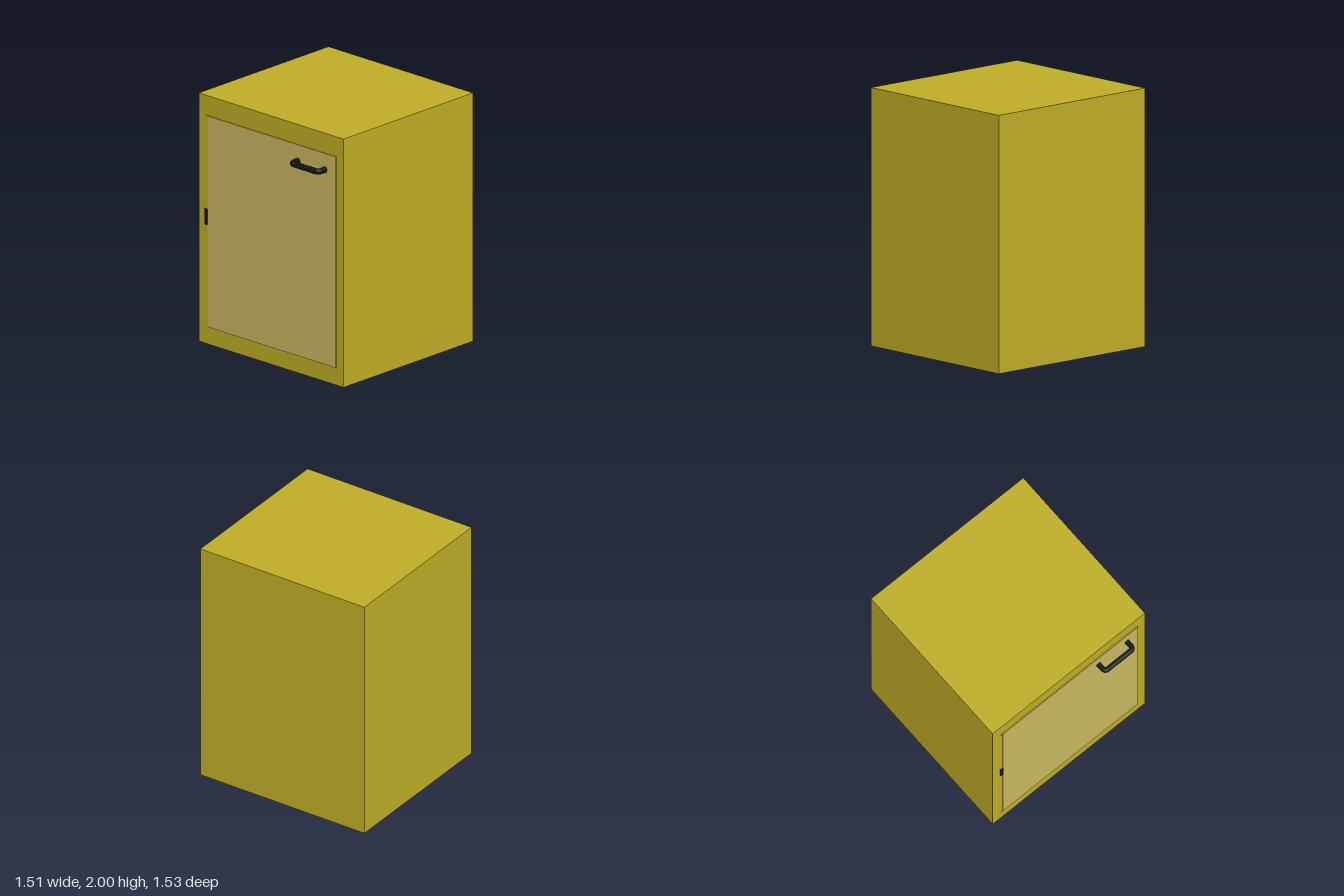
import * as THREE from 'three';

const YELLOW = 0xbfad26, TAN = 0xc9b760, BLACK = 0x161616;

function material(color) {
  return new THREE.MeshStandardMaterial({ color });
}

// Box given by its min and max corners
function box(name, color, [x0, y0, z0], [x1, y1, z1]) {
  const mesh = new THREE.Mesh(new THREE.BoxGeometry(x1 - x0, y1 - y0, z1 - z0), material(color));
  mesh.position.set((x0 + x1) / 2, (y0 + y1) / 2, (z0 + z1) / 2);
  mesh.name = name;
  return mesh;
}

// Bent-bar pull handle with rounded corners, in the xz plane
function pullHandle() {
  const half = 0.141, back = 0.655, front = 0.745, r = 0.03;
  const v = (x, z) => new THREE.Vector3(x, 0, z);
  const path = new THREE.CurvePath();
  path.add(new THREE.LineCurve3(v(-half, back), v(-half, front - r)));
  path.add(new THREE.QuadraticBezierCurve3(v(-half, front - r), v(-half, front), v(-half + r, front)));
  path.add(new THREE.LineCurve3(v(-half + r, front), v(half - r, front)));
  path.add(new THREE.QuadraticBezierCurve3(v(half - r, front), v(half, front), v(half, front - r)));
  path.add(new THREE.LineCurve3(v(half, front - r), v(half, back)));
  const mesh = new THREE.Mesh(new THREE.TubeGeometry(path, 80, 0.021, 12), material(BLACK));
  mesh.scale.y = 1.14;
  mesh.position.set(0.429, 1.711, 0);
  mesh.name = 'handle';
  return mesh;
}

export function createModel() {
  const model = new THREE.Group();
  model.name = 'cabinet';

  // Solid cabinet body
  model.add(box('body', YELLOW, [-0.755, 0, -0.766], [0.755, 2, 0.662]));

  // Thin door slab with its lighter front panel
  const door = new THREE.Group();
  door.name = 'door';
  door.add(box('doorSlab', YELLOW, [-0.68, 0.14, 0.655], [0.68, 1.84, 0.667]));
  door.add(box('doorPanel', TAN, [-0.66, 0.14, 0.66], [0.68, 1.84, 0.67]));

  // Hinge on the right edge, handle at the upper left
  door.add(box('hinge', BLACK, [-0.685, 0.963, 0.655], [-0.661, 1.09, 0.675]));
  door.add(pullHandle());
  model.add(door);

  return model;
}
